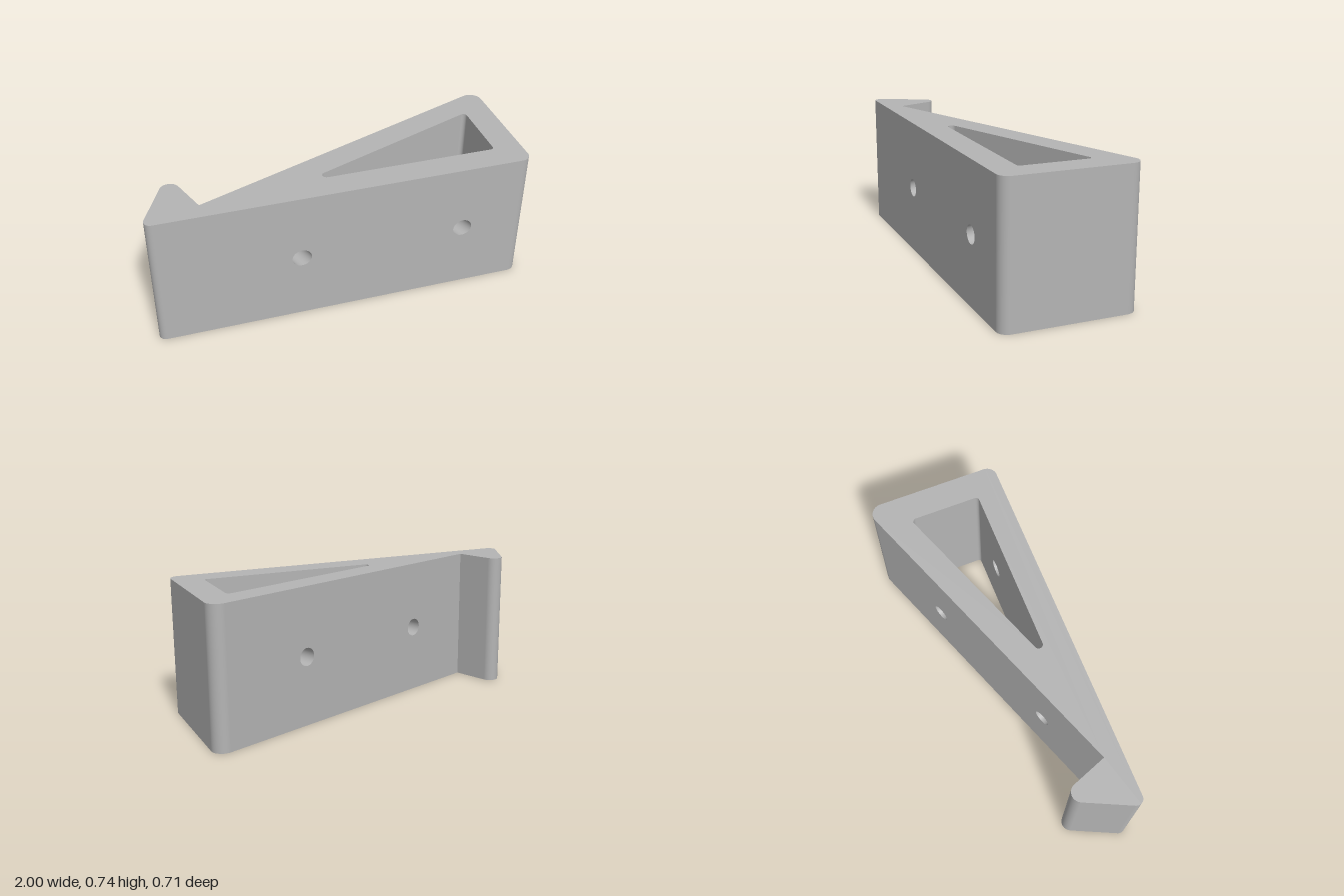
import * as THREE from 'three';

const HEIGHT = 0.735, MID = HEIGHT / 2;
const TILT = Math.atan(0.372);          // angle of the sloped back
const BORE_R = 0.048, BORE_SEGS = 40, ARC_SEGS = 10;

// Corners as [x, z, radius]; both loops keep the solid on the inner side of each wall
const OUTLINE = [[-1.02, 0.355, 0.035], [1, 0.355, 0.055], [1, -0.382, 0.06],
  [-0.7237, 0.2592, 0], [-0.835, -0.0404, 0.05]];
const CAVITY = [[-0.183, 0.21, 0.022], [0.85, -0.174, 0.02], [0.85, 0.21, 0.018]];

// Round every corner of a loop; side is 1 for the outline, -1 for the cavity
function roundLoop(corners, side) {
  const n = corners.length;
  const pts = corners.map(c => new THREE.Vector2(c[0], c[1]));
  const normalOf = i => {
    const d = pts[(i + 1) % n].clone().sub(pts[i % n]).normalize();
    return new THREE.Vector2(-d.y, d.x);
  };
  return pts.map((p, i) => {
    const r = corners[i][2];
    if (!r) return { points: [p], normals: [] };
    const n0 = normalOf(i + n - 1), n1 = normalOf(i);
    const centre = p.clone().addScaledVector(n0.clone().add(n1), -side * r / (1 + n0.dot(n1)));
    const a0 = n0.angle();
    const turn = Math.atan2(n0.cross(n1), n0.dot(n1));
    const points = [], normals = [];
    for (let k = 0; k <= ARC_SEGS; k++) {
      const a = a0 + turn * k / ARC_SEGS;
      const nor = new THREE.Vector2(Math.cos(a), Math.sin(a));
      points.push(centre.clone().addScaledVector(nor, side * r));
      normals.push(new THREE.Vector3(nor.x, 0, nor.y));
    }
    return { points, normals };
  });
}

// Smooth strip between two rows of points
function strip(rowA, rowB, normals) {
  const pos = [], nor = [], index = [];
  rowA.forEach((a, i) => {
    pos.push(...a.toArray(), ...rowB[i].toArray());
    nor.push(...normals[i].toArray(), ...normals[i].toArray());
    if (i) {
      const k = 2 * (i - 1);
      index.push(k, k + 2, k + 1, k + 2, k + 3, k + 1);
    }
  });
  const g = new THREE.BufferGeometry();
  g.setAttribute('position', new THREE.Float32BufferAttribute(pos, 3));
  g.setAttribute('normal', new THREE.Float32BufferAttribute(nor, 3));
  g.setIndex(index);
  return g;
}

// Upright flat wall from p to q, pierced by rings of points
function panel(p, q, rings) {
  const d = q.clone().sub(p), len = d.length();
  d.normalize();
  const corners = [[0, 0], [len, 0], [len, HEIGHT], [0, HEIGHT]];
  const shape = new THREE.Shape(corners.map(c => new THREE.Vector2(...c)));
  for (const ring of rings) {
    shape.holes.push(new THREE.Path(ring.slice(0, -1).map(v =>
      new THREE.Vector2((v.x - p.x) * d.x + (v.z - p.y) * d.y, v.y))));
  }
  const g = new THREE.ShapeGeometry(shape);
  const m = new THREE.Matrix4().makeBasis(new THREE.Vector3(d.x, 0, d.y),
    new THREE.Vector3(0, 1, 0), new THREE.Vector3(-d.y, 0, d.x));
  return g.applyMatrix4(m.setPosition(p.x, 0, p.y));
}

// Bores run square to the slope
const axis = new THREE.Vector3(-Math.sin(TILT), 0, -Math.cos(TILT));
const across = new THREE.Vector3(Math.cos(TILT), 0, -Math.sin(TILT));
const boreDirs = Array.from({ length: BORE_SEGS + 1 }, (_, i) => {
  const a = 2 * Math.PI * i / BORE_SEGS;
  return across.clone().multiplyScalar(Math.cos(a)).add(new THREE.Vector3(0, Math.sin(a), 0));
});

// Ring where the bore entering the front at x meets the wall starting at corner i
function boreRing(x, corners, i) {
  const [px, pz] = corners[i], [qx, qz] = corners[(i + 1) % corners.length];
  const normal = new THREE.Vector3(pz - qz, 0, qx - px);
  const onWall = new THREE.Vector3(px, 0, pz);
  return boreDirs.map(dir => {
    const v = new THREE.Vector3(x, MID, 0.355).addScaledVector(dir, BORE_R);
    const t = normal.dot(onWall.clone().sub(v)) / normal.dot(axis);
    return v.addScaledVector(axis, t);
  });
}

export function createModel() {
  const model = new THREE.Group();
  model.name = 'wedgeHookBracket';
  const grey = new THREE.MeshStandardMaterial({ color: 0xb4b4b4 });
  grey.name = 'plain grey';
  const add = (name, geometry) => {
    const mesh = new THREE.Mesh(geometry, grey);
    mesh.name = name;
    model.add(mesh);
  };

  // Screw bores: one through solid material, one crossing the cavity
  const LEFT_X = -0.24, RIGHT_X = 0.64;
  const solidIn = boreRing(LEFT_X, OUTLINE, 0), solidOut = boreRing(LEFT_X, OUTLINE, 2);
  const frontIn = boreRing(RIGHT_X, OUTLINE, 0), frontOut = boreRing(RIGHT_X, CAVITY, 2);
  const backIn = boreRing(RIGHT_X, CAVITY, 0), backOut = boreRing(RIGHT_X, OUTLINE, 2);
  const inward = boreDirs.map(d => d.clone().negate());
  add('solidBore', strip(solidIn, solidOut, inward));
  add('frontBore', strip(frontIn, frontOut, inward));
  add('backBore', strip(backIn, backOut, inward));

  // Walls: flat panels joined by rounded corners
  const outer = roundLoop(OUTLINE, 1), inner = roundLoop(CAVITY, -1);
  const buildWalls = (name, loop, rings) => loop.forEach((corner, i) => {
    const next = loop[(i + 1) % loop.length];
    add(name + 'Wall', panel(corner.points.at(-1), next.points[0], rings[i] || []));
    if (corner.normals.length) {
      const row = y => corner.points.map(p => new THREE.Vector3(p.x, y, p.y));
      add(name + 'Corner', strip(row(0), row(HEIGHT), corner.normals));
    }
  });
  buildWalls('outer', outer, { 0: [solidIn, frontIn], 2: [solidOut, backOut] });
  buildWalls('cavity', inner, { 0: [backIn], 2: [frontOut] });

  // Top and bottom faces with the triangular opening
  const face = flip => {
    const flat = loop => loop.flatMap(c => c.points.map(p => new THREE.Vector2(p.x, flip * p.y)));
    const shape = new THREE.Shape(flat(outer));
    shape.holes.push(new THREE.Path(flat(inner)));
    return new THREE.ShapeGeometry(shape).rotateX(flip * Math.PI / 2);
  };
  add('topFace', face(-1).translate(0, HEIGHT, 0));
  add('bottomFace', face(1));
  return model;
}
